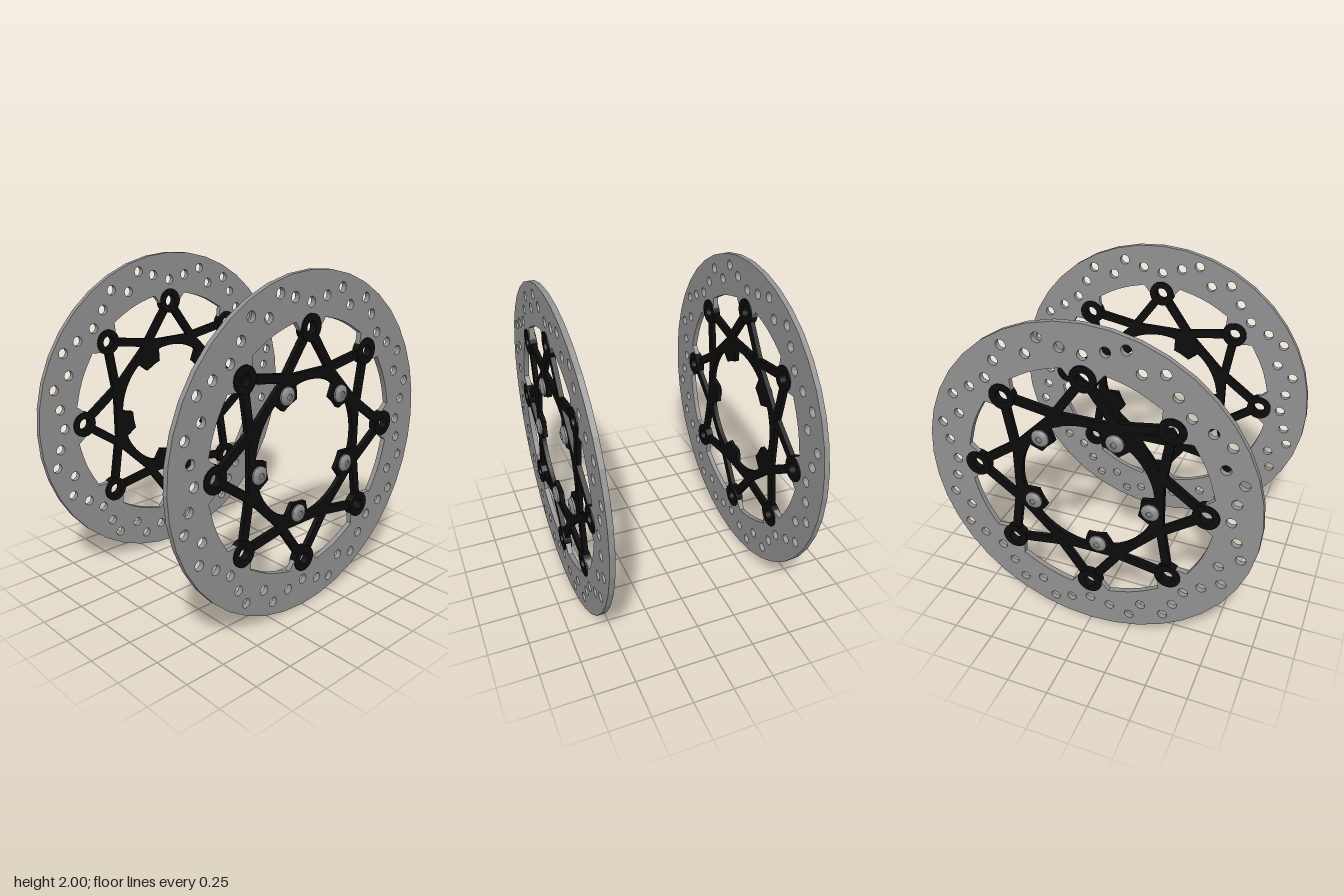
import * as THREE from 'three';
import { toCreasedNormals } from 'three/addons/utils/BufferGeometryUtils.js';

const steel = new THREE.MeshStandardMaterial({ color: 0x929292 });
steel.name = 'steel grey';
const black = new THREE.MeshStandardMaterial({ color: 0x0c0c0c });
black.name = 'carrier black';
const boltGrey = new THREE.MeshStandardMaterial({ color: 0x8a8a8a });
boltGrey.name = 'bolt grey';

const RAD = Math.PI / 180;
const EYE_R = 0.692;      // distance of the eyelets from the axle
const BOLT_R = 0.383;     // distance of the bolts from the axle
const DISC_X = 0.611;     // disc centre plane

// point at radius r, angle in degrees, shifted sideways by t
function polar(r, deg, t = 0) {
  const c = Math.cos(deg * RAD), s = Math.sin(deg * RAD);
  return new THREE.Vector2(r * c - t * s, r * s + t * c);
}

function circle(r, n, centre = new THREE.Vector2()) {
  return Array.from({ length: n }, (_, i) => polar(r, (i * 360) / n).add(centre));
}

// plate of the given thickness, centred on z = 0
function plate(outline, holes, thickness) {
  const shape = new THREE.Shape(outline);
  holes.forEach((h) => shape.holes.push(new THREE.Path(h)));
  const geo = new THREE.ExtrudeGeometry(shape, { depth: thickness, bevelEnabled: false });
  geo.translate(0, 0, -thickness / 2);
  return geo;
}

function addMesh(parent, name, geo, mat) {
  const mesh = new THREE.Mesh(geo, mat);
  mesh.name = name;
  parent.add(mesh);
  return mesh;
}

// outer friction ring with inward tabs and drilled holes
function rotorGeometry(side) {
  const inner = [], holes = [];
  const tab = [[0.735, -0.12], [0.68, -0.074], [0.64, -0.048], [0.622, 0],
    [0.64, 0.048], [0.68, 0.074], [0.735, 0.12]];
  const drill = [[0.829, 0], [0.876, 8.3], [0.929, 14.9], [0.844, 22.3], [0.918, 29], [0.86, 36.6]];
  for (let k = 0; k < 8; k++) {
    const a = k * 45;
    tab.forEach(([r, t]) => inner.push(polar(r, a, t)));
    for (let d = 12.5; d < 34; d += 4) inner.push(polar(0.742, a + d));
    holes.push(circle(0.045, 20, polar(EYE_R, a)));
    drill.forEach(([r, d]) => holes.push(circle(0.03, 14, polar(r, 90 + side * (a + d)))));
  }
  return plate(circle(1, 40), [inner, ...holes], 0.032);
}

// octagonal hub frame, its round opening broken by five bolt lugs
function hubGeometry(boltAngles) {
  const octagon = Array.from({ length: 8 }, (_, k) => polar(0.492, 22.5 + k * 45));
  const lug = [[0.39, -0.088], [0.362, -0.076], [0.318, -0.056], [0.322, 0],
    [0.318, 0.056], [0.362, 0.076], [0.39, 0.088]];
  const opening = [];
  boltAngles.forEach((a) => {
    lug.forEach(([r, t]) => opening.push(polar(r, a, t)));
    for (let d = 16; d <= 56; d += 5) opening.push(polar(0.402, a + d));
  });
  return plate(octagon, [opening], 0.028);
}

// button-head bolt with a hexagon socket, pointing along +z
function boltGeometry() {
  const profile = [[0.053, 0], [0.053, 0.024], [0.046, 0.031], [0.026, 0.039],
    [0.018, 0.039], [0.018, 0.03], [0, 0.03]].map(([x, y]) => new THREE.Vector2(x, y));
  const geo = new THREE.LatheGeometry(profile, 18);
  geo.rotateX(Math.PI / 2);
  return toCreasedNormals(geo, 0.5);
}

function brakeDisc(side) {
  const disc = new THREE.Group();
  disc.name = side > 0 ? 'leftBrakeDisc' : 'rightBrakeDisc';

  addMesh(disc, 'frictionRing', rotorGeometry(side), steel);

  const carrier = new THREE.Group();
  carrier.name = 'carrier';
  disc.add(carrier);
  // bolt angles mirror with the side, kept in counter-clockwise order
  const boltAngles = Array.from({ length: 5 }, (_, i) => (side > 0 ? 45 : 135) + i * 72);
  addMesh(carrier, 'hubFrame', hubGeometry(boltAngles), black);

  // eyelets, each held by two arms from the octagon corners
  const eyelet = plate(circle(0.078, 24), [circle(0.037, 20)], 0.046);
  for (let k = 0; k < 8; k++) {
    const centre = polar(EYE_R, k * 45);
    addMesh(carrier, 'eyelet', eyelet, black).position.set(centre.x, centre.y, 0);
    for (const m of [-1, 1]) {
      const foot = polar(0.475, k * 45 + m * 22.5);
      const dir = foot.clone().sub(centre);
      const length = dir.length() - 0.05;   // stop short of the bore
      const mid = foot.clone().addScaledVector(dir.clone().normalize(), -length / 2);
      const arm = addMesh(carrier, 'arm', new THREE.BoxGeometry(length, 0.052, 0.028), black);
      arm.position.set(mid.x, mid.y, 0);
      arm.rotation.z = dir.angle();
    }
  }

  // mounting bolts on the outer face
  const bolt = boltGeometry();
  boltAngles.forEach((a) => {
    const p = polar(BOLT_R, a);
    addMesh(disc, 'bolt', bolt, boltGrey).position.set(p.x, p.y, 0);
  });

  disc.rotation.y = (side * Math.PI) / 2;   // outer face away from the centre
  disc.position.set(side * DISC_X, 1, 0);
  return disc;
}

export function createModel() {
  const model = new THREE.Group();
  model.name = 'brakeDiscs';
  model.add(brakeDisc(1), brakeDisc(-1));
  return model;
}
